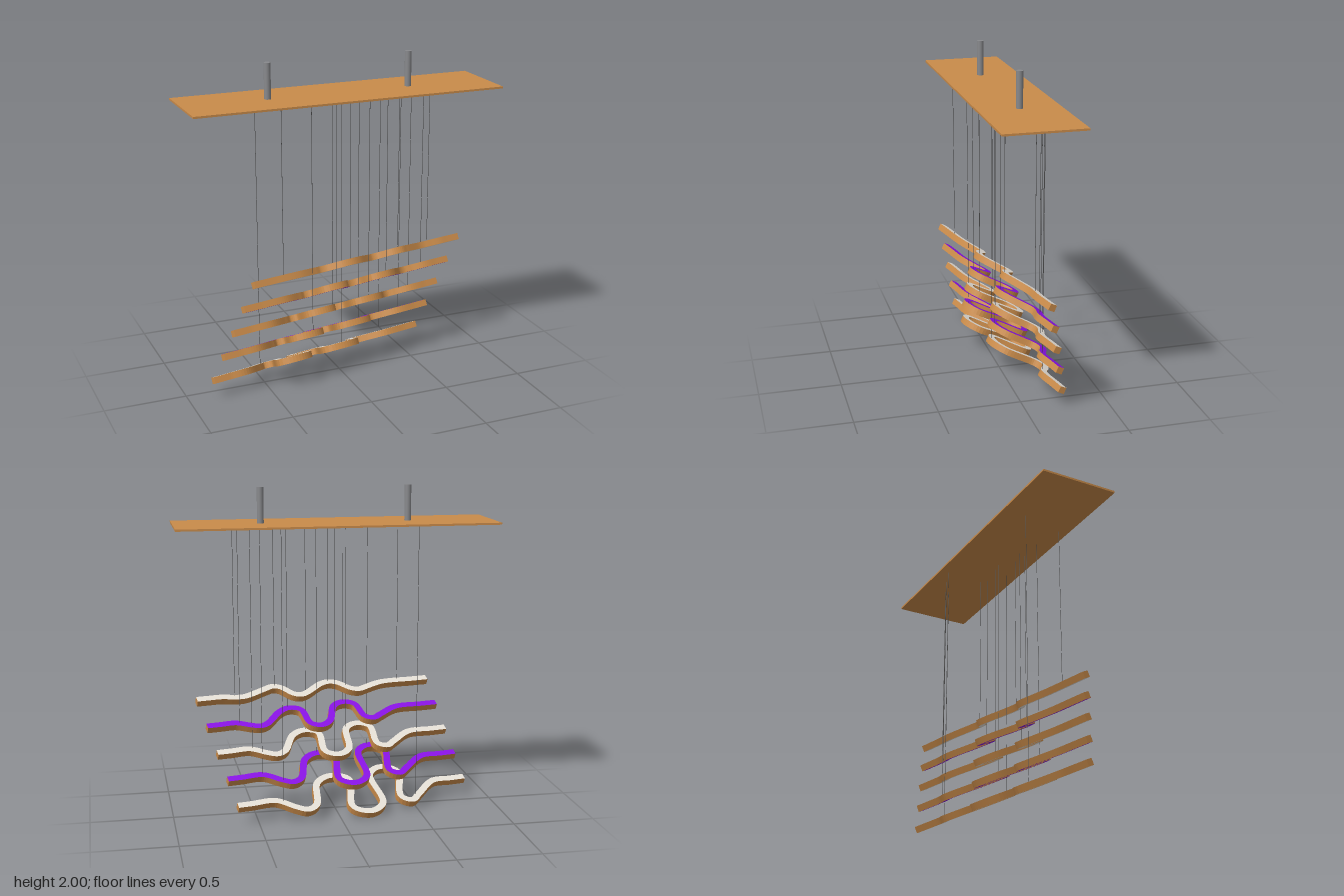
import * as THREE from 'three';

const mat = (name, color) => Object.assign(new THREE.MeshStandardMaterial({ color }), { name });

const TILT = 1.1, TURN = 0.2;          // lean and turn of every ribbon's plane
const WIDTH = 0.042, THICK = 0.04, HALF = 0.755;

// Wave lobes as [centre, height, half width], for the calmest and the wildest ribbon
const CALM = [[-0.272, -0.047, 0.049], [-0.095, 0.047, 0.054], [0.111, -0.047, 0.043], [0.266, 0.052, 0.049], [0.489, -0.017, 0.043]];
const WILD = [[-0.336, -0.14, 0.06], [-0.242, 0.175, 0.095], [-0.04, -0.185, 0.1], [0.107, 0.151, 0.105], [0.343, -0.105, 0.065]];
const BLEND = [0, 0.35, 0.6, 0.82, 1];

// World x of the cables holding each ribbon
const CABLES = [[-0.43, 0.02, 0.365, 0.62], [-0.075, 0.285, 0.595], [-0.085, 0.17, 0.525], [-0.23, 0.105, 0.47], [-0.495, -0.005, 0.35]];

// Centre line of a ribbon in its own plane
function wavePath(k) {
  const mix = (a, b) => THREE.MathUtils.lerp(a, b, k);
  const pts = [[-HALF, 0], [-0.65, 0], [mix(-0.44, -0.535), 0]];
  CALM.forEach((calm, i) => {
    const [c, h, r] = calm.map((v, j) => mix(v, WILD[i][j]));
    pts.push([c - r, h * 0.7], [c, h], [c + r, h * 0.7]);
  });
  pts.push([mix(0.61, 0.515), 0], [0.67, 0], [HALF, 0]);
  const curve = new THREE.CatmullRomCurve3(pts.map(([x, y]) => new THREE.Vector3(x, y, 0)));
  return curve.getSpacedPoints(150);
}

// Flat outline offset to both sides of the centre line, extruded to a band
function ribbonGeometry(path) {
  const side = (s) => path.map((p, i) => {
    const a = path[Math.max(i - 1, 0)], b = path[Math.min(i + 1, path.length - 1)];
    const len = Math.hypot(b.x - a.x, b.y - a.y);
    return new THREE.Vector2(p.x - (s * (b.y - a.y)) / len, p.y + (s * (b.x - a.x)) / len);
  });
  const outline = [...side(-WIDTH / 2), ...side(WIDTH / 2).reverse()];
  const geo = new THREE.ExtrudeGeometry(new THREE.Shape(outline), { depth: THICK, bevelEnabled: false });
  return geo.translate(0, 0, -THICK / 2);
}

export function createModel() {
  const model = new THREE.Group();
  model.name = 'hangingWaveLamp';
  const wood = mat('wood', 0xc98b4a);
  const metal = mat('metal', 0x88898c);
  const wire = mat('wire', 0x505050);
  const whiteLight = mat('whiteLight', 0xe9e3da);
  const purpleLight = mat('purpleLight', 0x8f14ee);

  const add = (name, geo, material, x, y, z) => {
    const mesh = new THREE.Mesh(geo, material);
    mesh.name = name;
    mesh.position.set(x, y, z);
    model.add(mesh);
    return mesh;
  };

  // Ceiling board and its two mounting posts
  add('ceilingBoard', new THREE.BoxGeometry(1.92, 0.012, 0.48), wood, 0, 1.781, 0);
  for (const x of [-0.445, 0.445]) {
    add('mountingPost', new THREE.CylinderGeometry(0.02, 0.02, 0.213, 24), metal, x, 1.8935, 0);
  }

  // Five ribbons: lit faces above and below, wooden edges
  BLEND.forEach((k, i) => {
    const step = i - 2;
    const path = wavePath(k);
    const ribbon = add('waveRibbon' + (i + 1), ribbonGeometry(path),
      [i % 2 ? purpleLight : whiteLight, wood], -0.055 * step, 0.43 - 0.157 * step, -0.034 * step);
    ribbon.rotation.set(TILT, TURN, 0, 'YXZ');
    ribbon.updateMatrix();

    // Cables from the board down to the highest crossing of the ribbon
    const world = path.map((p) => p.clone().applyMatrix4(ribbon.matrix));
    for (const x of CABLES[i]) {
      const p = world.filter((q) => Math.abs(q.x - x) < 0.012).reduce((a, b) => (b.y > a.y ? b : a));
      const length = 1.776 - p.y;
      add('cable', new THREE.CylinderGeometry(0.0015, 0.0015, length, 6), wire, x, p.y + length / 2, p.z);
    }
  });
  return model;
}
